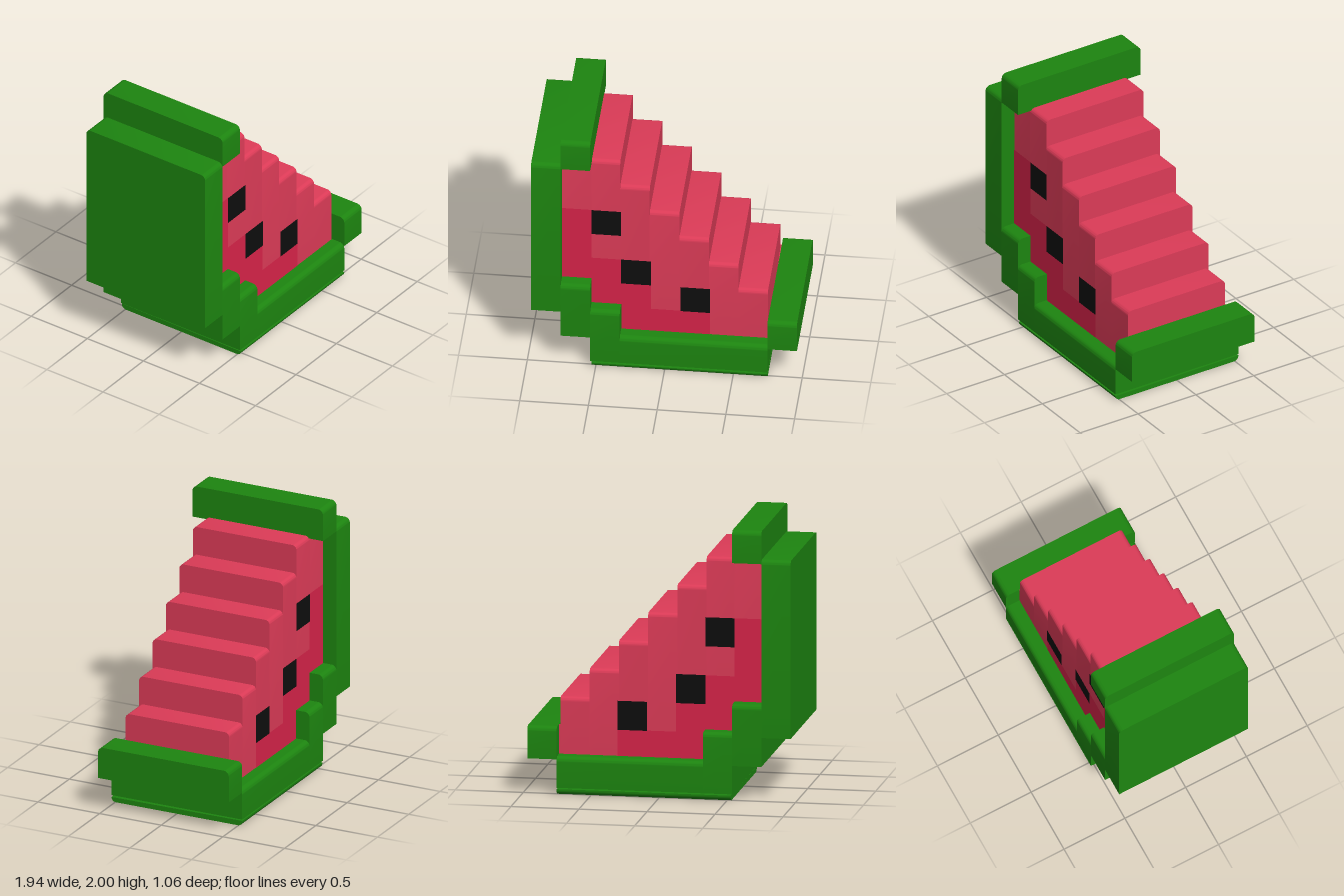
import * as THREE from 'three';
import { toCreasedNormals } from 'three/addons/utils/BufferGeometryUtils.js';

const U = 0.215; // width of one step
const RIND_Z = 0.53;
const FLESH_Z = 0.42;
const X = (i) => -0.97 + U * i; // column line i

const material = (color) => new THREE.MeshStandardMaterial({ color });

// Block running along x: its front and back edges are rounded at the top and/or bottom.
function slab(name, x0, x1, y0, y1, halfDepth, rTop, rBottom, mat) {
  const h = halfDepth;
  const s = new THREE.Shape();
  s.moveTo(-h + rBottom, y0);
  s.lineTo(h - rBottom, y0);
  if (rBottom) s.absarc(h - rBottom, y0 + rBottom, rBottom, -Math.PI / 2, 0, false);
  s.lineTo(h, y1 - rTop);
  if (rTop) {
    s.absarc(h - rTop, y1 - rTop, rTop, 0, Math.PI / 2, false);
    s.absarc(-h + rTop, y1 - rTop, rTop, Math.PI / 2, Math.PI, false);
  }
  s.lineTo(-h, y0 + rBottom);
  if (rBottom) s.absarc(-h + rBottom, y0 + rBottom, rBottom, Math.PI, Math.PI * 1.5, false);
  let g = new THREE.ExtrudeGeometry(s, { depth: x1 - x0, bevelEnabled: false, curveSegments: 6 });
  g.rotateY(Math.PI / 2);
  g.translate(x0, 0, 0);
  g = toCreasedNormals(g, 0.6);
  const mesh = new THREE.Mesh(g, mat);
  mesh.name = name;
  return mesh;
}

// Thin coloured patches on both faces of the flesh.
function patches(name, x0, x1, y0, y1, lift, mat) {
  const pair = new THREE.Group();
  pair.name = name;
  for (const side of [1, -1]) {
    const m = new THREE.Mesh(new THREE.PlaneGeometry(x1 - x0, y1 - y0), mat);
    m.position.set((x0 + x1) / 2, (y0 + y1) / 2, side * (FLESH_Z + lift));
    if (side < 0) m.rotation.y = Math.PI;
    m.name = side > 0 ? name + 'Front' : name + 'Back';
    pair.add(m);
  }
  return pair;
}

export function createModel() {
  const model = new THREE.Group();
  model.name = 'melonSlice';
  const green = material(0x1d8510);
  const pink = material(0xdc3b57);
  const red = material(0xd9244a);
  const black = material(0x0e0e0e);

  // Rind: stepped blocks around the curved side
  const rind = new THREE.Group();
  rind.name = 'rind';
  const rindBlocks = [
    ['rindTip', X(1), X(2), 1.76, 2.0],
    ['rindSide', X(0), X(1), 0.475, 1.79],
    ['rindUpperStep', X(1), X(2), 0.26, 0.715],
    ['rindLowerStep', X(2), X(3), 0.05, 0.5],
    ['rindBase', X(3), X(8), 0.05, 0.28],
    ['rindEnd', X(8), X(9), 0.26, 0.5],
  ];
  for (const [name, x0, x1, y0, y1] of rindBlocks) {
    rind.add(slab(name, x0, x1, y0, y1, RIND_Z, 0.04, 0, green));
  }
  // Bottom plate below a thin seam
  rind.add(slab('rindBottom', -0.53, X(8), 0, 0.04, RIND_Z, 0, 0.035, green));
  model.add(rind);

  // Flesh: a staircase of columns
  const flesh = new THREE.Group();
  flesh.name = 'flesh';
  const bottoms = [0.69, 0.47, 0.25, 0.25, 0.25, 0.25, 0.25];
  for (let i = 0; i < 7; i++) {
    const top = 1.777 - U * Math.max(0, i - 1);
    const x1 = i === 0 ? X(2) : X(i + 2) - 0.008;
    flesh.add(slab('fleshStep' + (i + 1), X(i + 1) - (i ? 0.008 : 0), x1, bottoms[i], top, FLESH_Z, 0.035, 0, pink));
  }
  // Sliver that closes the last step against the rind
  flesh.add(slab('fleshFoot', X(8) - 0.008, X(8), 0.25, 0.5, FLESH_Z, 0, 0, pink));
  model.add(flesh);

  // Deeper red area beside the rind
  const deep = new THREE.Group();
  deep.name = 'deepFlesh';
  [
    [X(1), X(2), 0.7, 1.33],
    [X(2), X(3), 0.48, 0.9],
    [X(3), X(4), 0.27, 0.687],
    [X(4), X(6), 0.27, 0.475],
  ].forEach(([a, b, c, d], i) => deep.add(patches('deepFlesh' + (i + 1), a, b, c, d, 0.002, red)));
  model.add(deep);

  // Seeds
  const seeds = new THREE.Group();
  seeds.name = 'seeds';
  [[X(2), 1.115], [X(3), 0.687], [X(5), 0.473]].forEach(([x, y], i) =>
    seeds.add(patches('seed' + (i + 1), x, x + U, y, y + U, 0.004, black)));
  model.add(seeds);

  return model;
}
